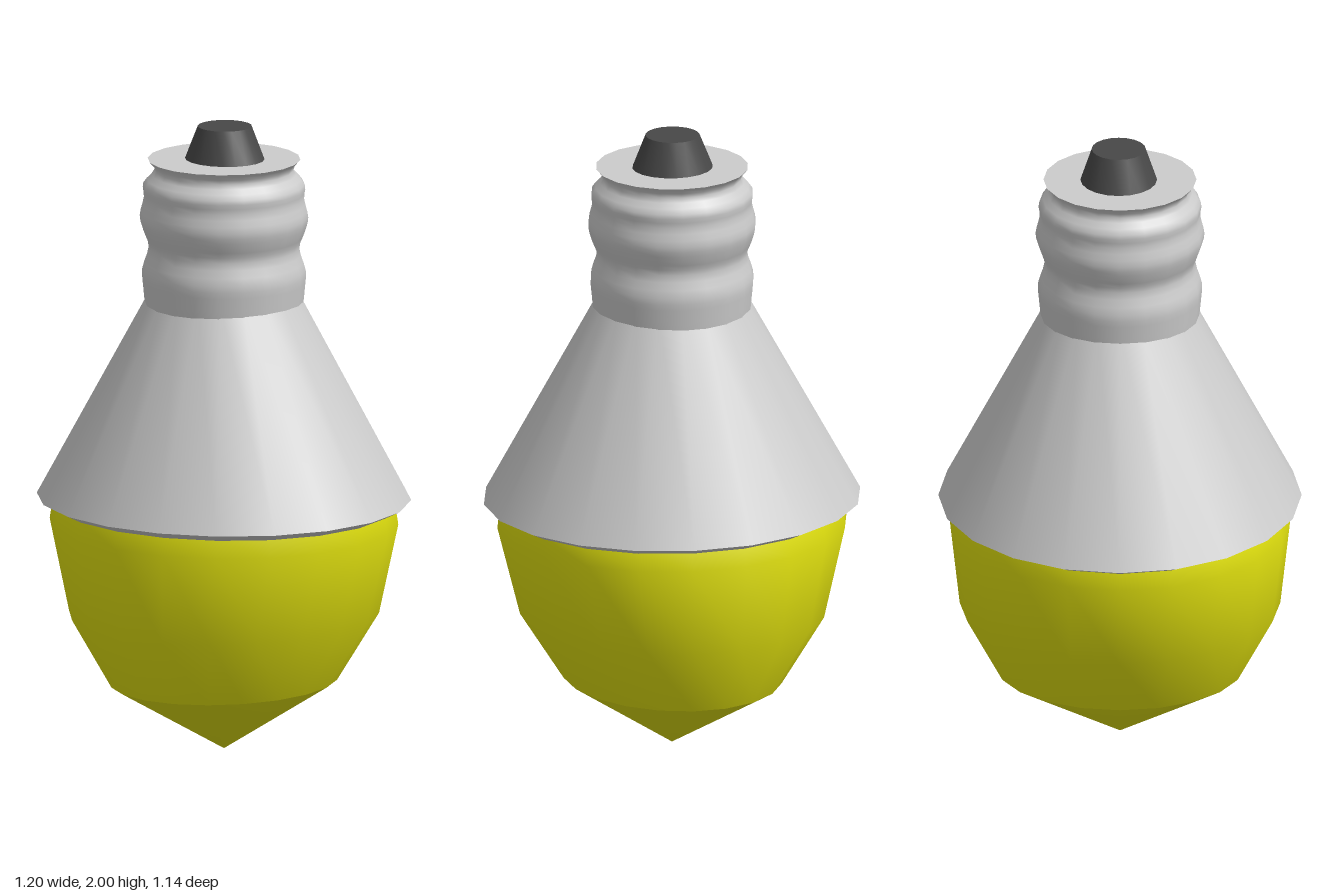
import * as THREE from 'three';
import { toCreasedNormals } from 'three/addons/utils/BufferGeometryUtils.js';

const SIDES = 20;

// Turned shape with oval rings; each ring is [x radius, z radius, y], listed upwards
function ovalLathe(rings, crease = 0.6) {
  const geometry = new THREE.LatheGeometry(
    rings.map(([rx, , y]) => new THREE.Vector2(rx, y)), SIDES);
  const position = geometry.attributes.position;
  for (let i = 0; i < position.count; i++) {
    const angle = Math.floor(i / rings.length) / SIDES * Math.PI * 2;
    position.setZ(i, Math.cos(angle) * rings[i % rings.length][1]);
  }
  return toCreasedNormals(geometry, crease);
}

export function createModel() {
  const group = new THREE.Group();
  const grey = new THREE.MeshStandardMaterial({ color: 0xcccccc });
  const yellow = new THREE.MeshStandardMaterial({ color: 0xe2e20f, side: THREE.DoubleSide });
  const dark = new THREE.MeshStandardMaterial({ color: 0x484848 });

  const add = (name, geometry, material) => {
    const mesh = new THREE.Mesh(geometry, material);
    mesh.name = name;
    group.add(mesh);
    return mesh;
  };

  // Pointed end of the glass
  add('glassTip', ovalLathe([[0, 0, 0], [0.336, 0.388, 0.22]]), yellow);

  // Rounded glass wall
  add('glassBulb', ovalLathe([
    [0.336, 0.388, 0.22], [0.478, 0.503, 0.44], [0.556, 0.535, 0.73], [0.55, 0.52, 0.79],
  ]), yellow);

  // Tapered housing with its chamfered lower lip
  add('housing', ovalLathe([
    [0, 0, 0.785], [0.55, 0.52, 0.785], [0.6, 0.57, 0.81], [0.232, 0.227, 1.475], [0, 0, 1.475],
  ]), grey);

  // Rippled screw cap, smoothed through a few profile points
  const ripple = new THREE.SplineCurve([
    [0.248, 1.42], [0.254, 1.48], [0.257, 1.54], [0.237, 1.61], [0.253, 1.66], [0.265, 1.71],
    [0.252, 1.77], [0.254, 1.815], [0.218, 1.86], [0.24, 1.895],
  ].map(([r, y]) => new THREE.Vector2(r, y))).getPoints(27);
  add('screwCap', ovalLathe([...ripple.map((p) => [p.x, p.x, p.y]), [0, 0, 1.895]], 0.9), grey);

  // Dark contact on the end of the cap
  const contact = add('contact', ovalLathe([
    [0.13, 0.122, 1.89], [0.085, 0.085, 2], [0, 0, 2],
  ]), dark);
  contact.position.z = -0.004;

  return group;
}
